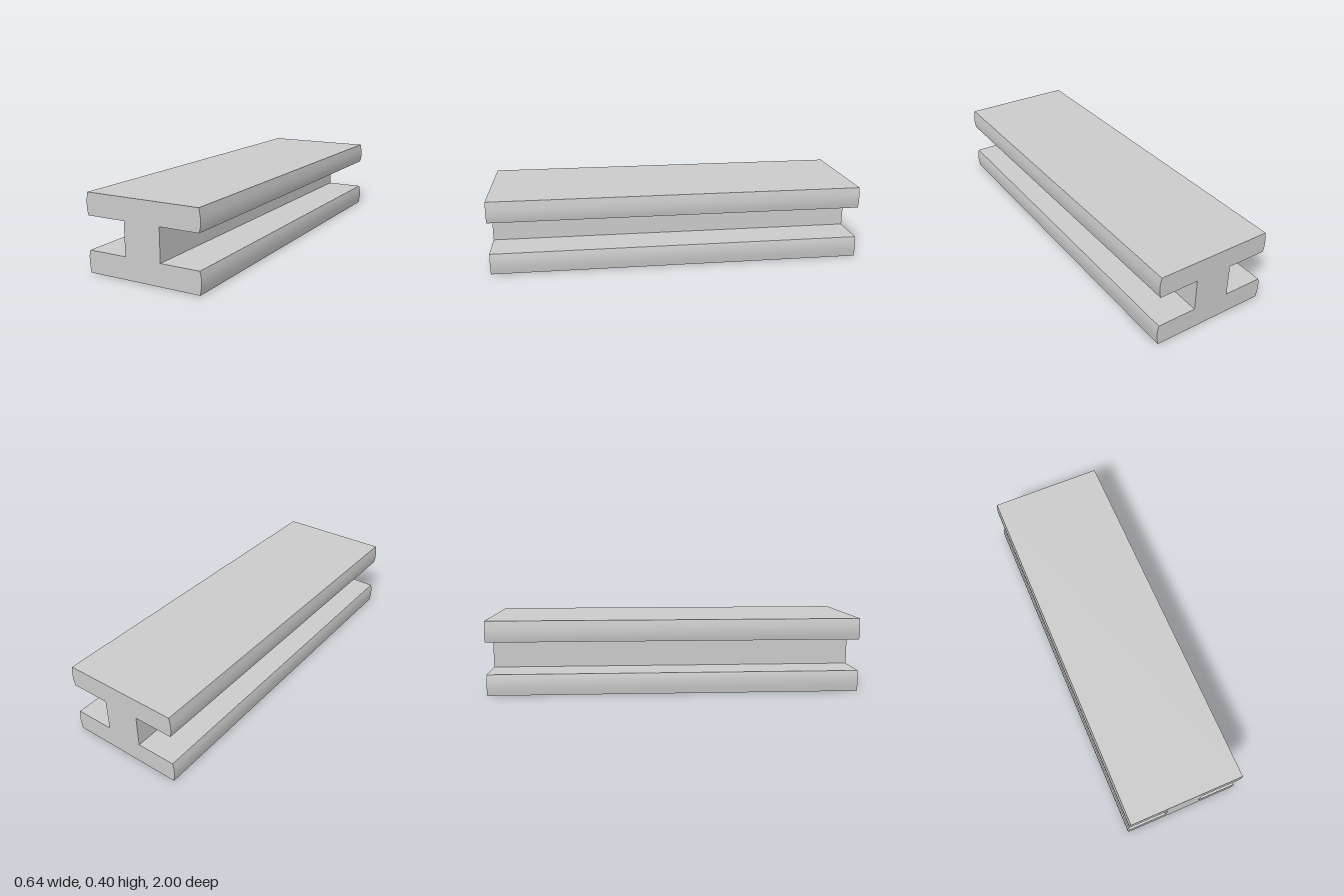
import * as THREE from 'three';
import { toCreasedNormals } from 'three/addons/utils/BufferGeometryUtils.js';

const HEIGHT = 0.4;
const LENGTH = 2;

export function createModel() {
  const group = new THREE.Group();
  group.name = 'beam';

  // Right half of the lower flange and web, from the base up to mid height
  const quarter = [
    [0.313, 0], [0.32, 0.043], [0.32, 0.083], [0.313, 0.114], // bulged flange edge
    [0.1, 0.114],                                             // flange meets web
  ];

  // Mirror top to bottom, then left to right, for the full I section
  const half = [...quarter, ...quarter.map(([x, y]) => [x, HEIGHT - y]).reverse()];
  const outline = [...half, ...half.map(([x, y]) => [-x, y]).reverse()];
  const section = new THREE.Shape(outline.map(([x, y]) => new THREE.Vector2(x, y)));

  // Extrude along z; the bulged edges shade smoothly, the corners stay sharp
  const geometry = new THREE.ExtrudeGeometry(section, { depth: LENGTH, bevelEnabled: false });
  geometry.translate(0, 0, -LENGTH / 2);
  const beam = new THREE.Mesh(
    toCreasedNormals(geometry, 0.5),
    new THREE.MeshStandardMaterial({ color: 0xcccccc })
  );
  beam.name = 'flangedBeam';
  group.add(beam);

  return group;
}
